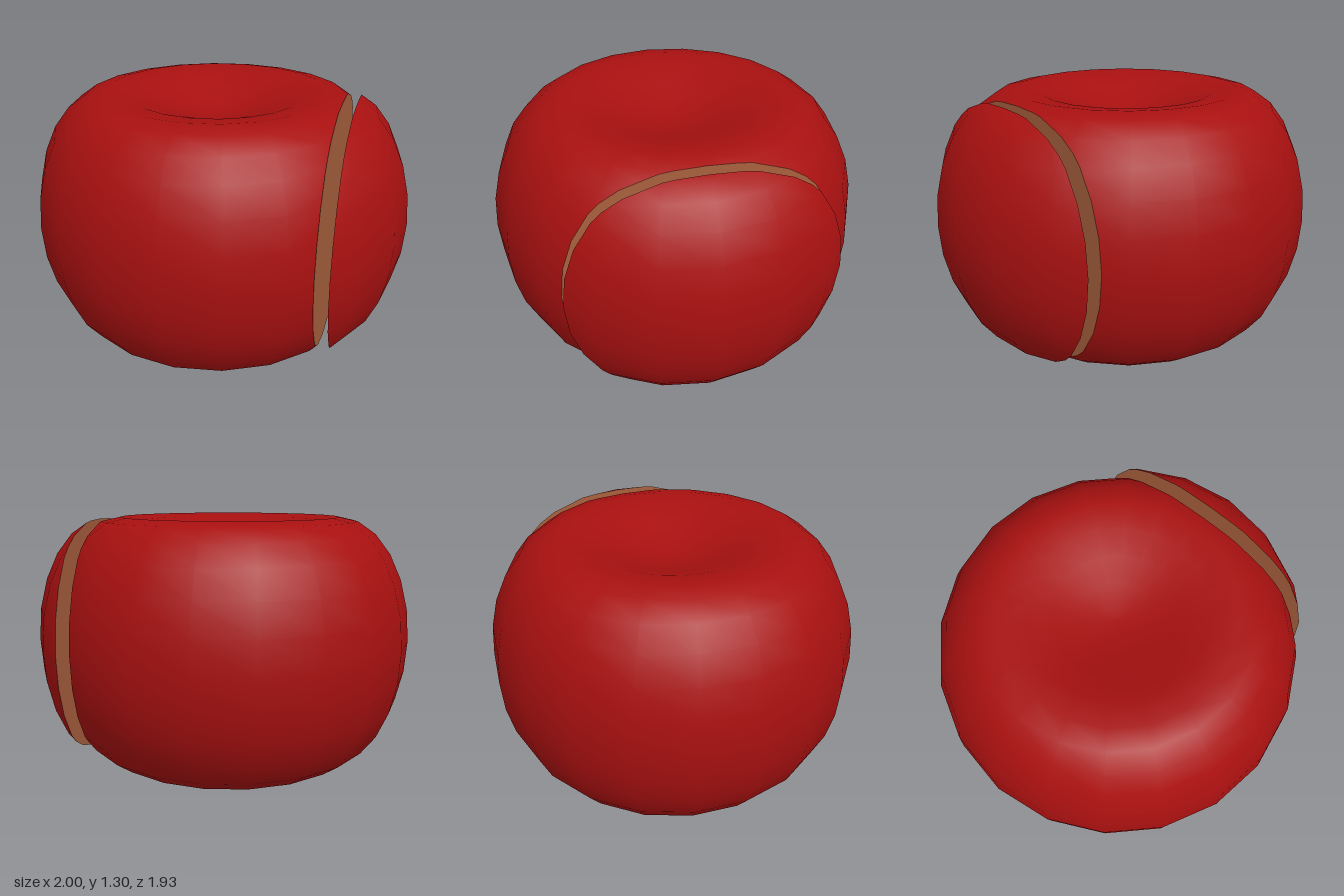
import * as THREE from 'three';

const CUT = 0.66;   // distance of the cut from the axis
const GAP = 0.035;  // how far each piece moves away from the cut
const MID = 0.648;  // half of the height

const skin = new THREE.MeshStandardMaterial({ color: 0xa81010 });
const flesh = new THREE.MeshStandardMaterial({ color: 0xa8603e });

// Whole fruit: rounded flank with a shallow dimple at both ends
function wholeFruit() {
  const dimple = [[0, -0.13], [0.08, -0.127], [0.2, -0.1], [0.32, -0.06], [0.45, -0.018]];
  const points = dimple.map(([r, d]) => new THREE.Vector2(r, -d));
  for (let i = -6; i <= 6; i++) {
    const a = i * Math.PI / 12;
    points.push(new THREE.Vector2(0.585 + 0.38 * Math.cos(a), MID + MID * Math.sin(a)));
  }
  for (const [r, d] of [...dimple].reverse()) points.push(new THREE.Vector2(r, 2 * MID + d));
  return new THREE.LatheGeometry(points, 20).toNonIndexed();
}

// Keep the part of a geometry on one side of x = CUT; also return the rim points
function slice(geometry, side) {
  const pos = geometry.attributes.position, nor = geometry.attributes.normal;
  const positions = [], normals = [], rim = [];
  const distance = (v) => side * (v.p.x - CUT);
  for (let t = 0; t < pos.count; t += 3) {
    const tri = [0, 1, 2].map((k) => ({
      p: new THREE.Vector3().fromBufferAttribute(pos, t + k),
      n: new THREE.Vector3().fromBufferAttribute(nor, t + k),
    }));
    const kept = [];
    tri.forEach((a, k) => {
      const b = tri[(k + 1) % 3], da = distance(a), db = distance(b);
      if (da >= 0) kept.push(a);
      if (da * db < 0) {
        const f = da / (da - db);
        const c = { p: a.p.clone().lerp(b.p, f), n: a.n.clone().lerp(b.n, f).normalize() };
        kept.push(c);
        rim.push(c.p);
      }
    });
    for (let k = 1; k + 1 < kept.length; k++) {
      for (const v of [kept[0], kept[k], kept[k + 1]]) {
        positions.push(...v.p.toArray());
        normals.push(...v.n.toArray());
      }
    }
  }
  const result = new THREE.BufferGeometry();
  result.setAttribute('position', new THREE.Float32BufferAttribute(positions, 3));
  result.setAttribute('normal', new THREE.Float32BufferAttribute(normals, 3));
  return { geometry: result, rim };
}

// Flat cut face: a fan around the middle of the rim
function cutFace(rim, side) {
  const angle = (p) => Math.atan2(p.y - MID, -p.z);
  const ring = [...rim].sort((a, b) => side * (angle(b) - angle(a)));
  const positions = [];
  ring.forEach((p, i) => {
    const q = ring[(i + 1) % ring.length];
    if (p.distanceTo(q) > 1e-5) positions.push(CUT, MID, 0, ...p.toArray(), ...q.toArray());
  });
  const geometry = new THREE.BufferGeometry();
  geometry.setAttribute('position', new THREE.Float32BufferAttribute(positions, 3));
  geometry.computeVertexNormals();
  // Make the face look away from its piece
  if (geometry.attributes.normal.getX(0) * side > 0) {
    const flipped = [];
    for (let i = 0; i < positions.length; i += 9) {
      flipped.push(...positions.slice(i, i + 3), ...positions.slice(i + 6, i + 9), ...positions.slice(i + 3, i + 6));
    }
    geometry.setAttribute('position', new THREE.Float32BufferAttribute(flipped, 3));
    geometry.computeVertexNormals();
  }
  return geometry;
}

function mesh(name, geometry, material) {
  const m = new THREE.Mesh(geometry, material);
  m.name = name;
  return m;
}

export function createModel() {
  const model = new THREE.Group();
  model.name = 'slicedFruit';
  const fruit = wholeFruit();

  // Large body on one side of the gap, cut-off slice on the other
  for (const [name, side] of [['body', -1], ['slice', 1]]) {
    const piece = new THREE.Group();
    piece.name = name;
    const { geometry, rim } = slice(fruit, side);
    piece.add(mesh(name + 'Skin', geometry, skin));
    piece.add(mesh(name + 'CutFace', cutFace(rim, side), flesh));
    piece.position.x = side * GAP;
    model.add(piece);
  }
  return model;
}
